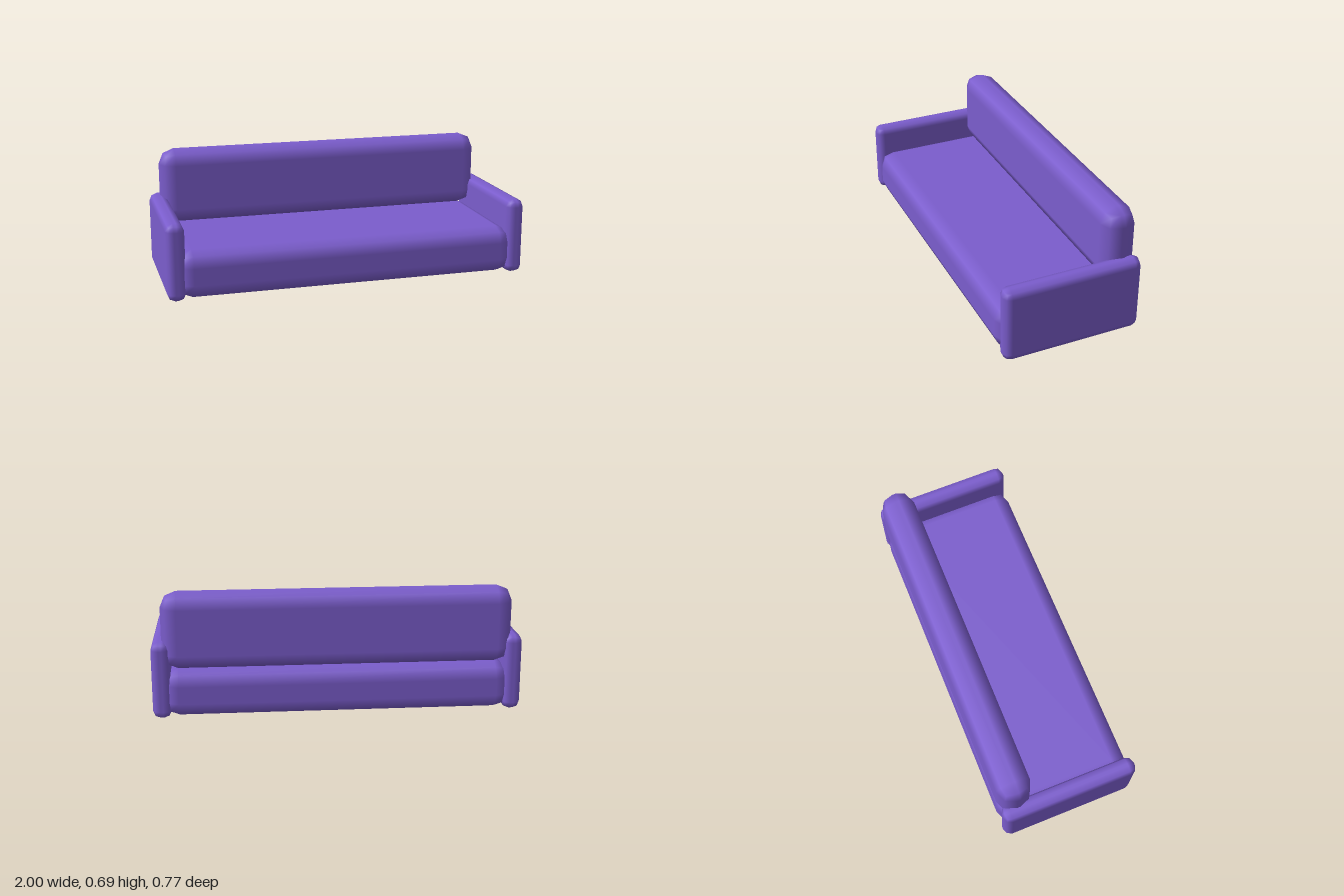
import * as THREE from 'three';

const fabric = new THREE.MeshStandardMaterial({ color: 0x7b5dcd });
fabric.name = 'purple fabric';

// Box with a smooth two-step bevel of radius r, spanning min to max
function cushion(name, min, max, r) {
  const geo = new THREE.BoxGeometry(1, 1, 1, 3, 3, 3);
  const lo = new THREE.Vector3(...min), hi = new THREE.Vector3(...max);
  const core = hi.clone().sub(lo).multiplyScalar(0.5).subScalar(r);
  const pos = geo.attributes.position, nor = geo.attributes.normal;
  const outer = (v) => (Math.abs(v) > 0.3 ? Math.sign(v) : 0);
  for (let i = 0; i < pos.count; i++) {
    const x = pos.getX(i), y = pos.getY(i), z = pos.getZ(i);
    const n = new THREE.Vector3(outer(x), outer(y), outer(z)).normalize();
    nor.setXYZ(i, n.x, n.y, n.z);
    pos.setXYZ(i,
      Math.sign(x) * core.x + n.x * r,
      Math.sign(y) * core.y + n.y * r,
      Math.sign(z) * core.z + n.z * r);
  }
  geo.computeBoundingSphere();
  const mesh = new THREE.Mesh(geo, fabric);
  mesh.name = name;
  mesh.position.copy(lo).add(hi).multiplyScalar(0.5);
  return mesh;
}

export function createModel() {
  const sofa = new THREE.Group();
  sofa.name = 'sofa';

  // Seat and backrest share width and soft edge
  sofa.add(cushion('seat', [-0.945, 0, -0.384], [0.945, 0.264, 0.384], 0.085));
  sofa.add(cushion('backrest', [-0.945, 0.264, -0.384], [0.945, 0.685, -0.195], 0.085));

  // Thin armrests at both ends
  for (const [name, x] of [['leftArmrest', 0.95], ['rightArmrest', -0.95]]) {
    sofa.add(cushion(name, [x - 0.05, 0, -0.384], [x + 0.05, 0.422, 0.384], 0.042));
  }
  return sofa;
}
